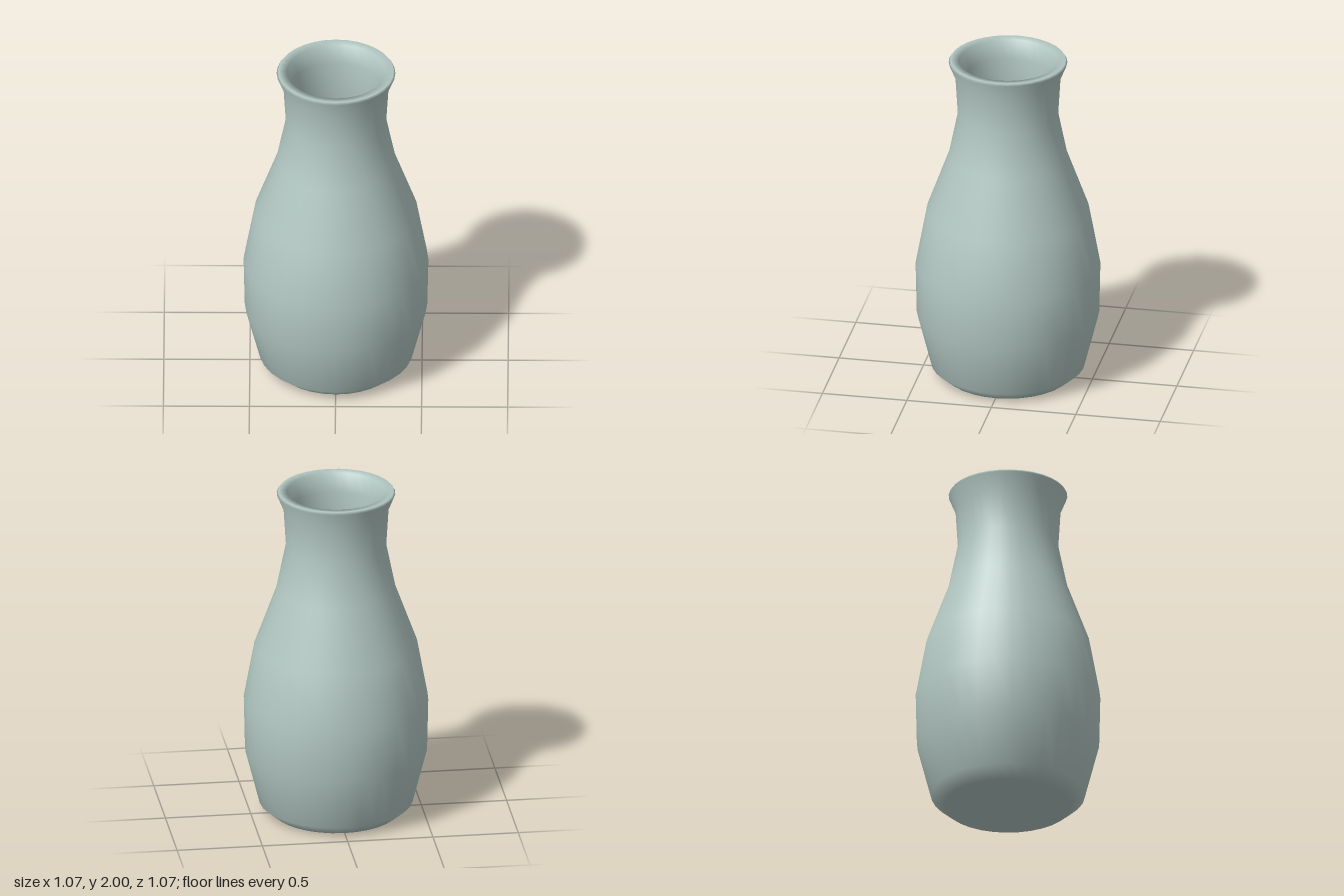
import * as THREE from 'three';

export function createModel() {
  const group = new THREE.Group();
  group.name = 'vase';
  const glaze = new THREE.MeshStandardMaterial({ color: 0xb3c8c3 });
  glaze.name = 'pale grey-green glaze';

  // Outer wall, from the centre of the base up to the lip
  const outer = [
    [0, 0], [0.37, 0], [0.447, 0.065], [0.53, 0.39], [0.537, 0.7], [0.475, 1.04],
    [0.347, 1.39], [0.292, 1.66], [0.306, 1.89], [0.345, 1.985], [0.335, 2],
  ];
  // Lip and hollow inside, down to the centre of the floor
  const inner = [
    [0.285, 1.995], [0.267, 1.88], [0.255, 1.66], [0.31, 1.38], [0.438, 1.03],
    [0.498, 0.7], [0.49, 0.4], [0.412, 0.1], [0.35, 0.05], [0, 0.05],
  ];
  const profile = [...outer, ...inner].map(([r, y]) => new THREE.Vector2(r, y));

  const body = new THREE.Mesh(new THREE.LatheGeometry(profile, 32), glaze);
  body.name = 'vaseBody';
  group.add(body);
  return group;
}
